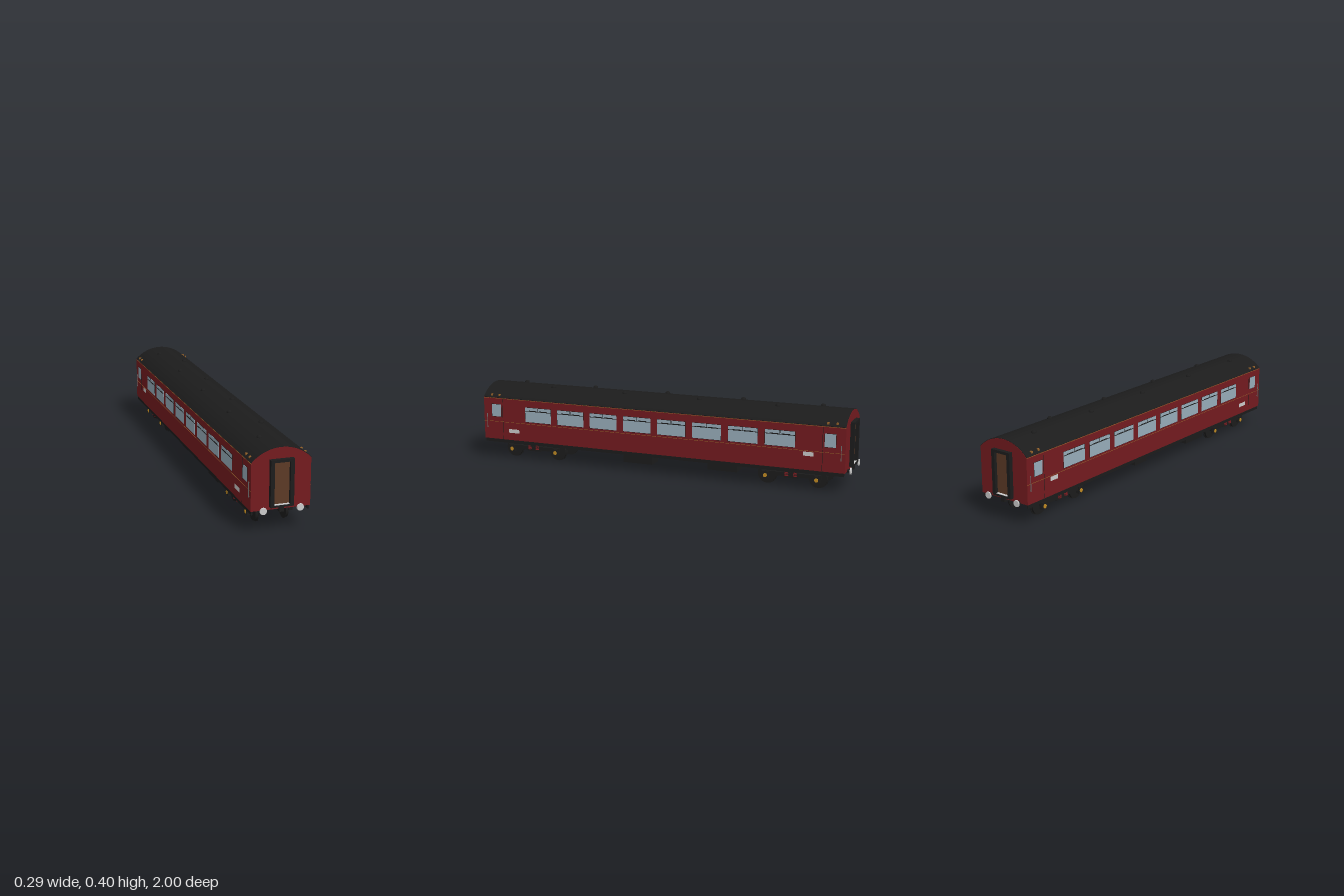
import * as THREE from 'three';
import { toCreasedNormals } from 'three/addons/utils/BufferGeometryUtils.js';

const mat = (color) => new THREE.MeshStandardMaterial({ color, side: THREE.DoubleSide });
const RED = mat(0x741b1f), BLACK = mat(0x1c1c1c), GLASS = mat(0x98adba), BROWN = mat(0x5c3a26),
  GOLD = mat(0xc08a22), TRIM = mat(0x96622a), GREY = mat(0xc0c0c0), STEEL = mat(0x707070);

const HALF = 0.14, EAVES = 0.328, TOP = 0.389, LEN = 1.96;

export function createModel() {
  const model = new THREE.Group();
  model.name = 'railwayCarriage';

  const add = (parent, name, geometry, material, x = 0, y = 0, z = 0) => {
    const mesh = new THREE.Mesh(geometry, material);
    mesh.name = name;
    mesh.position.set(x, y, z);
    parent.add(mesh);
    return mesh;
  };
  const box = (parent, name, material, w, h, d, x, y, z) =>
    add(parent, name, new THREE.BoxGeometry(w, h, d), material, x, y, z);
  // Cylinder lying along x or z
  const rod = (parent, name, material, r, len, x, y, z, axis = 'x', r2 = r) => {
    const g = new THREE.CylinderGeometry(r2, r, len, 24);
    if (axis === 'x') g.rotateZ(-Math.PI / 2); else g.rotateX(Math.PI / 2);
    return add(parent, name, g, material, x, y, z);
  };
  const extrude = (shape, depth) => {
    const g = new THREE.ExtrudeGeometry(shape, { depth, bevelEnabled: false, curveSegments: 32 });
    g.translate(0, 0, -depth / 2);
    return toCreasedNormals(g, 0.5);
  };

  // Arched body and roof skin
  const rise = TOP - EAVES;
  const radius = (HALF * HALF + rise * rise) / (2 * rise);
  const cy = TOP - radius;
  const a0 = Math.atan2(EAVES - cy, HALF);
  const roofY = (x) => cy + Math.sqrt(radius * radius - x * x);

  const section = new THREE.Shape();
  section.moveTo(-HALF, 0.105);
  section.lineTo(HALF, 0.105);
  section.lineTo(HALF, EAVES);
  section.absarc(0, cy, radius, a0, Math.PI - a0, false);
  section.closePath();
  add(model, 'body', extrude(section, LEN), RED);

  const skin = new THREE.Shape();
  skin.absarc(0, cy, radius + 0.002, a0, Math.PI - a0, false);
  skin.absarc(0, cy, radius - 0.002, Math.PI - a0, a0, true);
  skin.closePath();
  add(model, 'roof', extrude(skin, LEN - 0.002), BLACK);

  // Roof ventilators staggered either side of the ridge
  for (let i = 0; i < 9; i++) {
    const x = i % 2 ? 0.042 : -0.042;
    const dome = new THREE.SphereGeometry(0.013, 16, 6, 0, Math.PI * 2, 0, Math.PI / 2);
    dome.scale(1, 0.9, 1);
    add(model, 'roofVent', dome, BLACK, x, roofY(x) + 0.002, -0.82 + i * 0.2045);
  }

  // Underframe
  box(model, 'floor', BLACK, 0.226, 0.003, 1.95, 0, 0.1042, 0);
  for (const [x, z, len, bottom] of [
    [-0.07, 0.373, 0.155, 0.05], [0.07, 0.103, 0.16, 0.041],
    [-0.07, -0.104, 0.097, 0.053], [0.07, -0.354, 0.155, 0.048]]) {
    box(model, 'equipmentBox', BLACK, 0.08, 0.104 - bottom, len, x, (0.104 + bottom) / 2, z);
  }

  // Body sides
  const windowZ = [0.66, 0.472, 0.285, 0.097, -0.09, -0.278, -0.466, -0.654];
  for (const s of [1, -1]) {
    const side = new THREE.Group();
    side.name = s > 0 ? 'leftSide' : 'rightSide';
    model.add(side);
    const panel = (name, material, w, h, z, y, out = 0.001) =>
      box(side, name, material, 0.002, h, w, s * (HALF + out - 0.001), y, z);

    box(side, 'solebar', BLACK, 0.007, 0.018, 1.95, s * 0.133, 0.096, 0);
    panel('upperLining', TRIM, LEN, 0.002, 0, 0.326, 0.0012);
    panel('waistLining', TRIM, LEN, 0.0015, 0, 0.2, 0.0012);

    for (const z of windowZ) {
      panel('windowFrame', BLACK, 0.153, 0.08, z - 0.003, 0.25, 0.0006);
      panel('window', GLASS, 0.15, 0.077, z - 0.003, 0.25, 0.0014);
      panel('windowBar', BLACK, 0.15, 0.003, z - 0.003, 0.27, 0.002);
      for (const dz of [-0.03, 0.03]) panel('ventCatch', BLACK, 0.045, 0.004, z + dz - 0.003, 0.272, 0.0022);
      panel('ventDivider', BLACK, 0.003, 0.018, z - 0.003, 0.279, 0.002);
    }

    for (const e of [1, -1]) {
      panel('doorWindowFrame', BLACK, 0.057, 0.068, e * 0.905, 0.26, 0.0006);
      panel('doorWindow', GLASS, 0.054, 0.065, e * 0.905, 0.26, 0.0014);
      panel('doorSeam', BLACK, 0.002, 0.215, e * 0.868, 0.215, 0.0008);
      // Grab rail on two brackets
      box(side, 'grabRail', STEEL, 0.002, 0.075, 0.003, s * 0.1435, 0.203, e * 0.96);
      for (const y of [0.17, 0.236]) box(side, 'grabRailBracket', STEEL, 0.004, 0.003, 0.003, s * 0.1415, y, e * 0.96);
      for (const z of [0.89, 0.935]) box(side, 'eavesVent', TRIM, 0.016, 0.013, 0.01, s * 0.126, 0.34, e * z);
    }
    panel('frontLabel', GREY, 0.062, 0.02, 0.803, 0.154);
    panel('backLabel', GREY, 0.05, 0.02, -0.799, 0.185);
  }

  // End gangways, buffers and couplings
  const frame = new THREE.Shape();
  frame.moveTo(-0.055, 0.119);
  frame.lineTo(0.055, 0.119);
  frame.lineTo(0.055, 0.338);
  frame.lineTo(-0.055, 0.338);
  frame.closePath();
  const hole = new THREE.Path();
  hole.moveTo(-0.037, 0.128);
  hole.lineTo(-0.037, 0.325);
  hole.lineTo(0.037, 0.325);
  hole.lineTo(0.037, 0.128);
  hole.closePath();
  frame.holes.push(hole);
  for (const e of [1, -1]) {
    const end = new THREE.Group();
    end.name = e > 0 ? 'frontEnd' : 'backEnd';
    if (e < 0) end.rotation.y = Math.PI;
    model.add(end);
    add(end, 'gangwayFrame', extrude(frame, 0.02), BLACK, 0, 0, 0.99);
    box(end, 'gangwayDoor', BROWN, 0.074, 0.197, 0.004, 0, 0.2265, 0.983);
    box(end, 'gangwaySill', GREY, 0.07, 0.002, 0.016, 0, 0.129, 0.99);
    box(end, 'coupling', BLACK, 0.022, 0.024, 0.035, 0, 0.107, 0.977);
    for (const x of [-0.087, 0.087]) {
      rod(end, 'bufferShank', BLACK, 0.008, 0.02, x, 0.107, 0.985, 'z');
      rod(end, 'bufferHead', GREY, 0.017, 0.005, x, 0.107, 0.9965, 'z', 0.016);
    }
  }

  // Bogies
  for (const e of [1, -1]) {
    const bogie = new THREE.Group();
    bogie.name = e > 0 ? 'frontBogie' : 'backBogie';
    bogie.position.z = e * 0.706;
    model.add(bogie);
    box(bogie, 'bolster', BLACK, 0.225, 0.011, 0.06, 0, 0.081, 0);
    box(bogie, 'springPlank', BLACK, 0.2, 0.009, 0.075, 0, 0.0495, 0);
    box(bogie, 'pivot', BLACK, 0.024, 0.022, 0.024, 0, 0.094, 0);
    for (const s of [1, -1]) {
      box(bogie, 'sideFrame', BLACK, 0.01, 0.02, 0.3, s * 0.1, 0.063, 0);
      box(bogie, 'bolsterGuide', BLACK, 0.07, 0.02, 0.05, s * 0.065, 0.066, 0);
      for (const dz of [-0.022, 0.022]) {
        for (let k = 0; k < 4; k++) {
          const coil = new THREE.TorusGeometry(0.0075, 0.0026, 6, 14);
          coil.rotateX(Math.PI / 2);
          add(bogie, 'springCoil', coil, RED, s * 0.107, 0.059 + k * 0.0075, dz);
        }
      }
    }
    for (const z of [-0.129, 0.129]) {
      rod(bogie, 'axle', BLACK, 0.006, 0.2, 0, 0.05, z);
      for (const s of [1, -1]) {
        rod(bogie, 'wheelTread', BLACK, 0.046, 0.012, s * 0.073, 0.05, z);
        rod(bogie, 'wheelFlange', BLACK, 0.05, 0.003, s * 0.0665, 0.05, z);
        box(bogie, 'axleBox', BLACK, 0.018, 0.034, 0.032, s * 0.102, 0.053, z);
        rod(bogie, 'axleCap', GOLD, 0.01, 0.004, s * 0.1115, 0.05, z);
      }
    }
  }
  return model;
}
